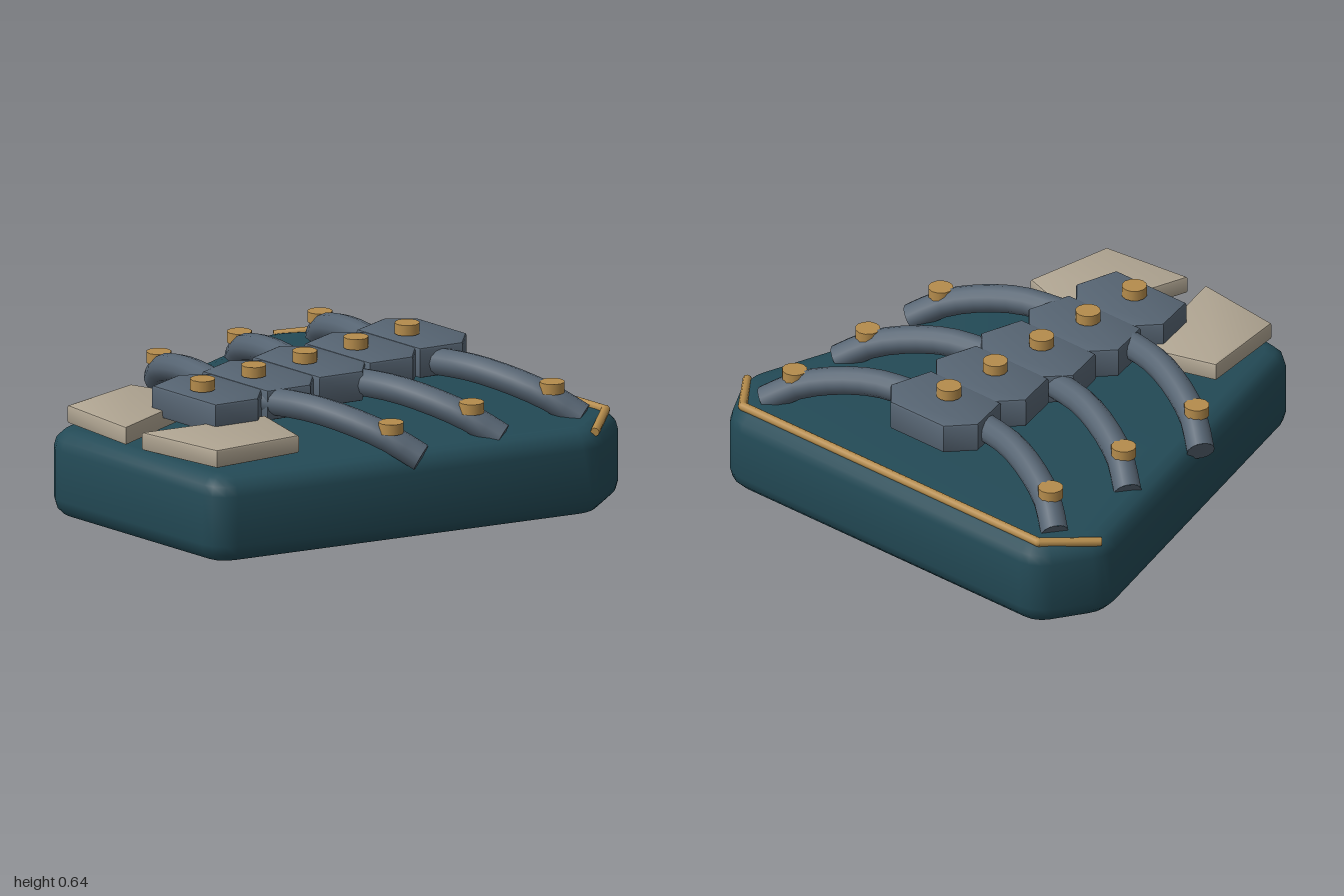
import * as THREE from 'three';
import { toCreasedNormals } from 'three/addons/utils/BufferGeometryUtils.js';

const material = (name, color) => new THREE.MeshStandardMaterial({ name, color });

// Adds a named mesh to a parent.
function add(parent, name, geometry, mat, x = 0, y = 0, z = 0) {
  const mesh = new THREE.Mesh(geometry, mat);
  mesh.name = name;
  mesh.position.set(x, y, z);
  parent.add(mesh);
  return mesh;
}

// Bevelled slab from an outline of [x, z] points, its underside on y = 0.
// The outline is the flat inner face; the bevel grows outward from it.
function slab(points, height, bevel, segments, crease, corner = 0) {
  const pts = points.map(([x, z]) => new THREE.Vector2(x, -z));
  const shape = new THREE.Shape();
  pts.forEach((p, i) => {
    const prev = pts[(i + pts.length - 1) % pts.length];
    const next = pts[(i + 1) % pts.length];
    const toward = (q) => p.clone().add(q.clone().sub(p).setLength(corner));
    const a = corner ? toward(prev) : p;
    if (i === 0) shape.moveTo(a.x, a.y);
    else shape.lineTo(a.x, a.y);
    if (corner) {
      const b = toward(next);
      shape.quadraticCurveTo(p.x, p.y, b.x, b.y);
    }
  });
  shape.closePath();
  const g = new THREE.ExtrudeGeometry(shape, {
    depth: height - 2 * bevel, bevelThickness: bevel, bevelSize: bevel,
    bevelSegments: segments, curveSegments: 3,
  });
  g.rotateX(-Math.PI / 2).translate(0, bevel, 0);
  return toCreasedNormals(g, crease);
}

// Mirrors a half outline across x = 0.
const mirrored = (half) => [...half, ...half.map(([x, z]) => [-x, z]).reverse()];

// Straight rod between two points.
function rod(a, b, radius) {
  const dir = b.clone().sub(a);
  const g = new THREE.CylinderGeometry(radius, radius, dir.length(), 8);
  const q = new THREE.Quaternion().setFromUnitVectors(new THREE.Vector3(0, 1, 0), dir.clone().normalize());
  g.applyQuaternion(q);
  const mid = a.clone().add(b).multiplyScalar(0.5);
  return g.translate(mid.x, mid.y, mid.z);
}

export function createModel() {
  const model = new THREE.Group();
  model.name = 'ribbedArmourPlate';
  const teal = material('darkTeal', 0x234a56);
  const slate = material('slate', 0x566472);
  const gold = material('brass', 0xb58c4c);
  const ivory = material('bone', 0xb0a592);

  // Tapered base with rounded edges
  const base = mirrored([[0.46, 0.89], [0.922, -0.68], [0.80, -0.89]]);
  add(model, 'base', slab(base, 0.37, 0.08, 3, 0.8, 0.04), teal);

  // Two front pads
  for (const s of [1, -1]) {
    const pad = [[0.06, 0.95], [0.445, 0.905], [0.50, 0.52], [0.21, 0.43]].map(([x, z]) => [s * x, z]);
    add(model, s > 0 ? 'leftPad' : 'rightPad', slab(pad, 0.078, 0.01, 2, 0.5), ivory, 0, 0.397, 0);
  }

  // Row of spine plates with a stud on each
  const bolt = new THREE.CylinderGeometry(0.052, 0.052, 0.045, 12);
  for (let i = 0; i < 5; i++) {
    const k = 1 - Math.abs(i - 2) * 0.03;
    const z = 0.58 - i * 0.2825;
    const top = 0.57 + i * 0.005;
    const plate = mirrored([[0.195 * k, 0.092], [0.242 * k, -0.085], [0.15 * k, -0.183]]);
    add(model, 'spinePlate', slab(plate, 0.13, 0.012, 2, 0.5), slate, 0, top - 0.13, z);
    add(model, 'spineStud', bolt, gold, 0, top + 0.027, z);
  }

  // Three pairs of drooping ribs, each with a closed tip and a stud
  const r = 0.058;
  for (let i = 0; i < 3; i++) {
    const dz = i * 0.445;
    for (const s of [1, -1]) {
      const rib = new THREE.Group();
      rib.name = s > 0 ? 'leftRib' : 'rightRib';
      rib.position.z = dz;
      model.add(rib);
      const curve = new THREE.CatmullRomCurve3([
        [0.12, 0.515, -0.53], [0.40, 0.515, -0.59], [0.67, 0.445, -0.70], [0.80, 0.36, -0.79],
      ].map(([x, y, z]) => new THREE.Vector3(s * x, y, z)));
      add(rib, 'ribTube', new THREE.TubeGeometry(curve, 10, r, 12), slate);
      const end = curve.getPoint(1);
      const tip = add(rib, 'ribTip', new THREE.CircleGeometry(r, 12), slate, end.x, end.y, end.z);
      tip.lookAt(end.clone().add(curve.getTangent(1)));
      // lookAt works in world space, so aim from the local tangent instead
      tip.quaternion.setFromUnitVectors(new THREE.Vector3(0, 0, 1), curve.getTangent(1));
      add(rib, 'ribStud', bolt, gold, s * 0.705, 0.485, -0.71);
    }
  }

  // Brass rail along the rear edge
  const path = [[-0.975, 0.35, -0.70], [-0.815, 0.373, -0.905], [0.815, 0.373, -0.905], [0.975, 0.35, -0.70]]
    .map((p) => new THREE.Vector3(...p));
  for (let i = 0; i < 3; i++) add(model, 'rearRail', rod(path[i], path[i + 1], 0.019), gold);
  for (const p of path.slice(1, 3)) add(model, 'railJoint', new THREE.SphereGeometry(0.019, 8, 6), gold, p.x, p.y, p.z);

  return model;
}
